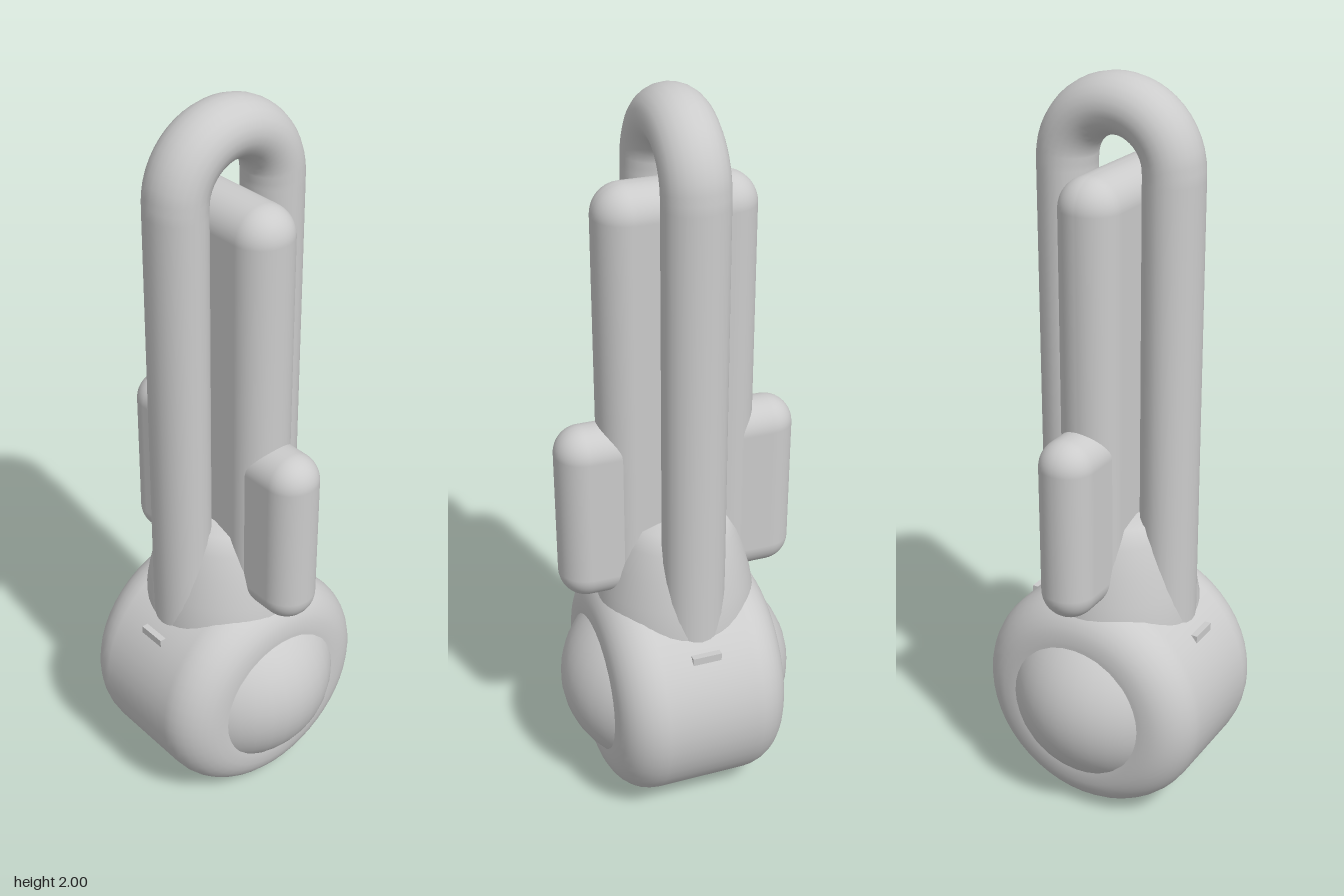
import * as THREE from 'three';
import { RoundedBoxGeometry } from 'three/addons/geometries/RoundedBoxGeometry.js';

const material = new THREE.MeshStandardMaterial({ color: 0xcccccc });

function add(group, name, geometry, x = 0, y = 0, z = 0) {
  const mesh = new THREE.Mesh(geometry, material);
  mesh.name = name;
  mesh.position.set(x, y, z);
  group.add(mesh);
  return mesh;
}

// Smooth surface of revolution through a few [radius, height] points
function lathe(points, segments = 48) {
  return new THREE.LatheGeometry(points.map(([r, y]) => new THREE.Vector2(r, y)), segments);
}

export function createModel() {
  const group = new THREE.Group();
  const hubY = 0.327;

  // Round drum lying along z, with softly rounded rims
  const wheel = [[0, -0.24], [0.2, -0.24]];
  const rim = 0.115;
  for (let side = -1; side <= 1; side += 2) {
    for (let i = 0; i <= 8; i++) {
      const a = (side < 0 ? i - 8 : i) / 8 * Math.PI / 2;
      wheel.push([0.21 + rim * Math.cos(a), side * 0.125 + rim * Math.sin(a)]);
    }
  }
  wheel.push([0.2, 0.24], [0, 0.24]);
  add(group, 'baseDrum', lathe(wheel), 0, hubY, 0).rotation.x = Math.PI / 2;

  // Domes bulging out of the front and back of the drum
  const dome = new THREE.SphereGeometry(1, 40, 28);
  dome.scale(0.287, 0.287, 0.326);
  add(group, 'hubDomes', dome, 0, hubY, 0);

  // Flared collar joining the arms to the drum
  add(group, 'collar', lathe([
    [0.222, 0.5], [0.22, 0.58], [0.208, 0.65], [0.19, 0.73],
    [0.168, 0.8], [0.145, 0.85], [0.1, 0.87], [0, 0.87],
  ]));

  // Tall arched loop
  const path = new THREE.CurvePath();
  const v = (x, y) => new THREE.Vector3(x, y, 0);
  const arch = [];
  for (let i = 0; i <= 16; i++) {
    const a = Math.PI * i / 16;
    arch.push(v(0.15 * Math.cos(a), 1.775 + 0.15 * Math.sin(a)));
  }
  path.add(new THREE.LineCurve3(v(0.15, 0.45), arch[0]));
  path.add(new THREE.CatmullRomCurve3(arch));
  path.add(new THREE.LineCurve3(arch[16], v(-0.15, 0.45)));
  const loop = new THREE.TubeGeometry(path, 160, 0.075, 24);
  loop.scale(1, 1, 1.13);
  add(group, 'archLoop', loop);

  // Upright slab inside the loop and the shorter, deeper fin below it
  add(group, 'innerSlab', new RoundedBoxGeometry(0.166, 1.28, 0.42, 6, 0.08), 0, 1.14, 0);
  add(group, 'lowerFin', new RoundedBoxGeometry(0.15, 0.5, 0.652, 6, 0.074), 0, 0.895, 0);

  // Small tabs where the loop enters the drum
  for (const s of [-1, 1]) {
    add(group, 'sideTab', new THREE.BoxGeometry(0.06, 0.06, 0.08), s * 0.232, 0.51, 0);
  }
  return group;
}
